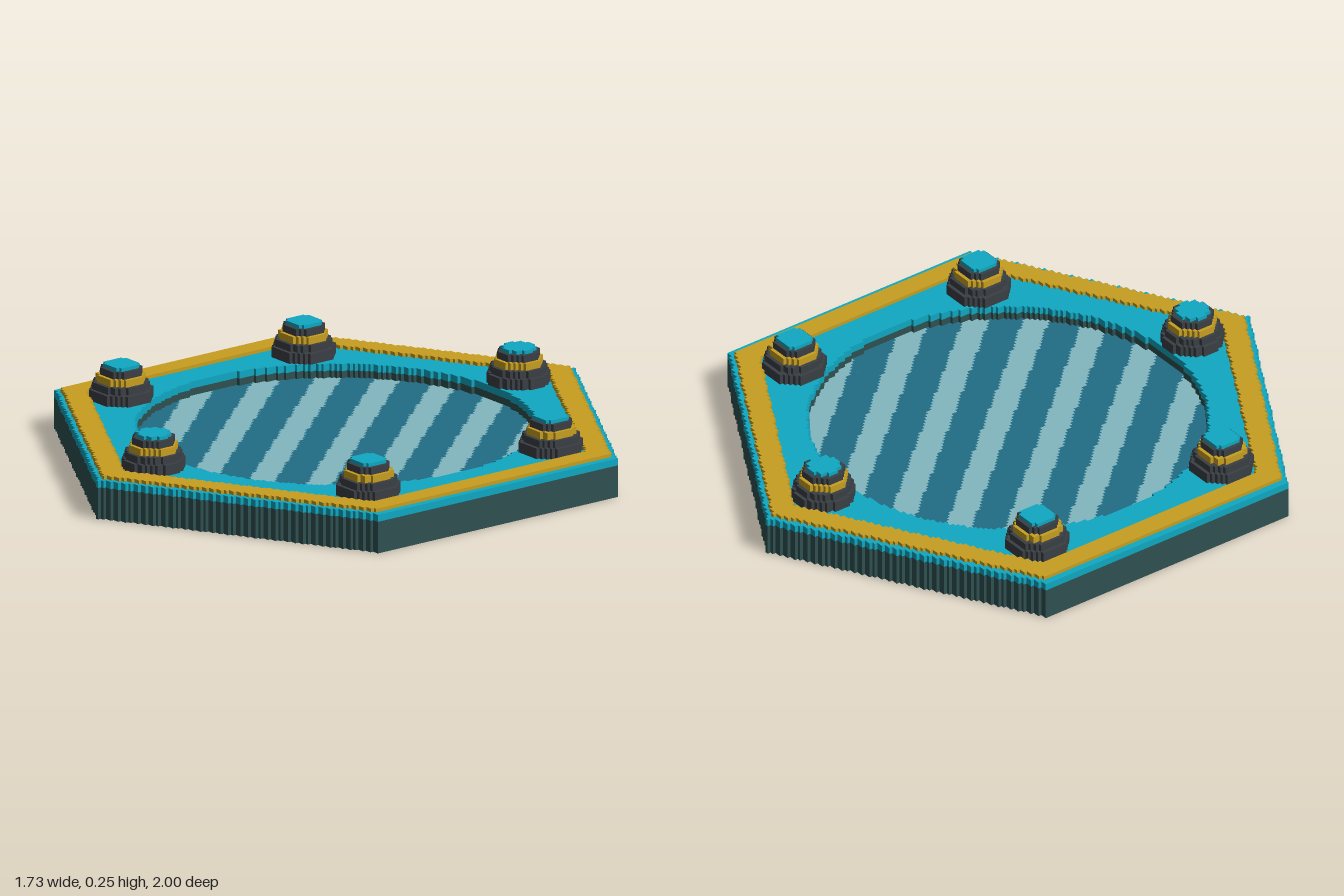
import * as THREE from 'three';

// Voxel-style hexagonal platform; one cell is 1/165 of the longest side.
const CELL = 2 / 165;
const NX = 72, NZ = 83, NY = 21;

const mat = (name, color) => {
  const m = new THREE.MeshStandardMaterial({ color });
  m.name = name;
  return m;
};

// Layer numbers (in cells)
const FLOOR = 6, DECK = 9, TOP = 11;
const RECESS_RADIUS = 54.6;
const STUD_RING = 63;

// Stud centres at the six corners, and stud radius for each layer above the deck
const studs = Array.from({ length: 6 }, (_, n) => {
  const a = Math.PI / 6 + (n * Math.PI) / 3;
  return [STUD_RING * Math.cos(a), STUD_RING * Math.sin(a)];
});
const studRadii = [8, 8, 8, 7, 7, 6, 6, 5, 5, 4];

// Distance measured to the flat sides of a hexagon with its points along z
const hexDistance = (x, z) =>
  Math.max(Math.abs(x), Math.abs(x) * 0.5 + Math.abs(z) * Math.sqrt(3) / 2);

// Which part fills cell (x, y, z); null when empty
function partAt(x, y, z) {
  if (y < 0 || y >= NY) return null;
  const hex = hexDistance(x, z);
  if (hex > 71.1) return null;
  if (y < TOP) {
    if (Math.hypot(x, z) <= RECESS_RADIUS) {
      if (y > FLOOR) return null;
      if (y === FLOOR) {
        const s = x * 0.755 - z * 0.656;
        return ((s % 16) + 16) % 16 < 7 ? 'floorStripes' : 'recessFloor';
      }
    }
    return y < DECK ? 'base' : 'deck';
  }
  if (y === TOP && hex > 63.5 && hex <= 69.6) return 'border';
  const r = studRadii[y - TOP] + 0.4;
  if (studs.some(([sx, sz]) => Math.hypot(x - sx, z - sz) <= r)) {
    if (y === NY - 1) return 'studCaps';
    return y === 16 || y === 17 ? 'studBands' : 'studBodies';
  }
  return null;
}

// Collect exposed faces, joined into strips along one axis
function buildFaces() {
  const buckets = {};
  const lo = [-NX, 0, -NZ], hi = [NX, NY - 1, NZ];
  for (let axis = 0; axis < 3; axis++) {
    const run = axis === 0 ? 2 : 0;      // strip direction
    const other = 3 - axis - run;
    for (const sign of [-1, 1]) {
      const c = [0, 0, 0];
      const exposedPart = () => {
        const part = partAt(...c);
        if (!part) return null;
        c[axis] += sign;
        const covered = partAt(...c);
        c[axis] -= sign;
        return covered ? null : part;
      };
      for (let a = lo[axis]; a <= hi[axis]; a++) {
        for (let o = lo[other]; o <= hi[other]; o++) {
          let start = 0, current = null;
          for (let r = lo[run]; r <= hi[run] + 1; r++) {
            c[axis] = a; c[other] = o; c[run] = r;
            const part = r > hi[run] ? null : exposedPart();
            if (part === current) continue;
            if (current) addStrip(buckets, current, axis, run, other, sign, a, o, start, r);
            current = part;
            start = r;
          }
        }
      }
    }
  }
  return buckets;
}

// One rectangular strip, wound to face outwards
function addStrip(buckets, part, axis, run, other, sign, a, o, r0, r1) {
  const b = (buckets[part] ??= { position: [], normal: [], index: [] });
  const base = b.position.length / 3;
  for (const [r, d] of [[r0, 0], [r1, 0], [r1, 1], [r0, 1]]) {
    const p = [0, 0, 0], n = [0, 0, 0];
    p[axis] = a + (sign > 0 ? 1 : 0);
    p[run] = r;
    p[other] = o + d;
    n[axis] = sign;
    // cells are centred on x = z = 0 and stand on y = 0
    b.position.push((p[0] - 0.5) * CELL, p[1] * CELL, (p[2] - 0.5) * CELL);
    b.normal.push(...n);
  }
  const forward = ((run + 1) % 3 === other) === (sign > 0);
  const order = forward ? [0, 1, 2, 0, 2, 3] : [0, 2, 1, 0, 3, 2];
  b.index.push(...order.map((i) => base + i));
}

export function createModel() {
  const cyan = mat('cyan', 0x0fa8c2);
  const gold = mat('gold', 0xc89f20);
  const charcoal = mat('charcoal', 0x3a3f44);
  const materials = {
    base: mat('dark slate', 0x2f5050),
    deck: cyan,
    border: gold,
    recessFloor: mat('deep teal', 0x216e87),
    floorStripes: mat('pale teal', 0x82b8c0),
    studBodies: charcoal,
    studBands: gold,
    studCaps: cyan,
  };
  const group = new THREE.Group();
  group.name = 'hexagonalPlatform';
  for (const [part, b] of Object.entries(buildFaces())) {
    const g = new THREE.BufferGeometry();
    g.setAttribute('position', new THREE.Float32BufferAttribute(b.position, 3));
    g.setAttribute('normal', new THREE.Float32BufferAttribute(b.normal, 3));
    g.setIndex(b.index);
    const mesh = new THREE.Mesh(g, materials[part]);
    mesh.name = part;
    group.add(mesh);
  }
  return group;
}
